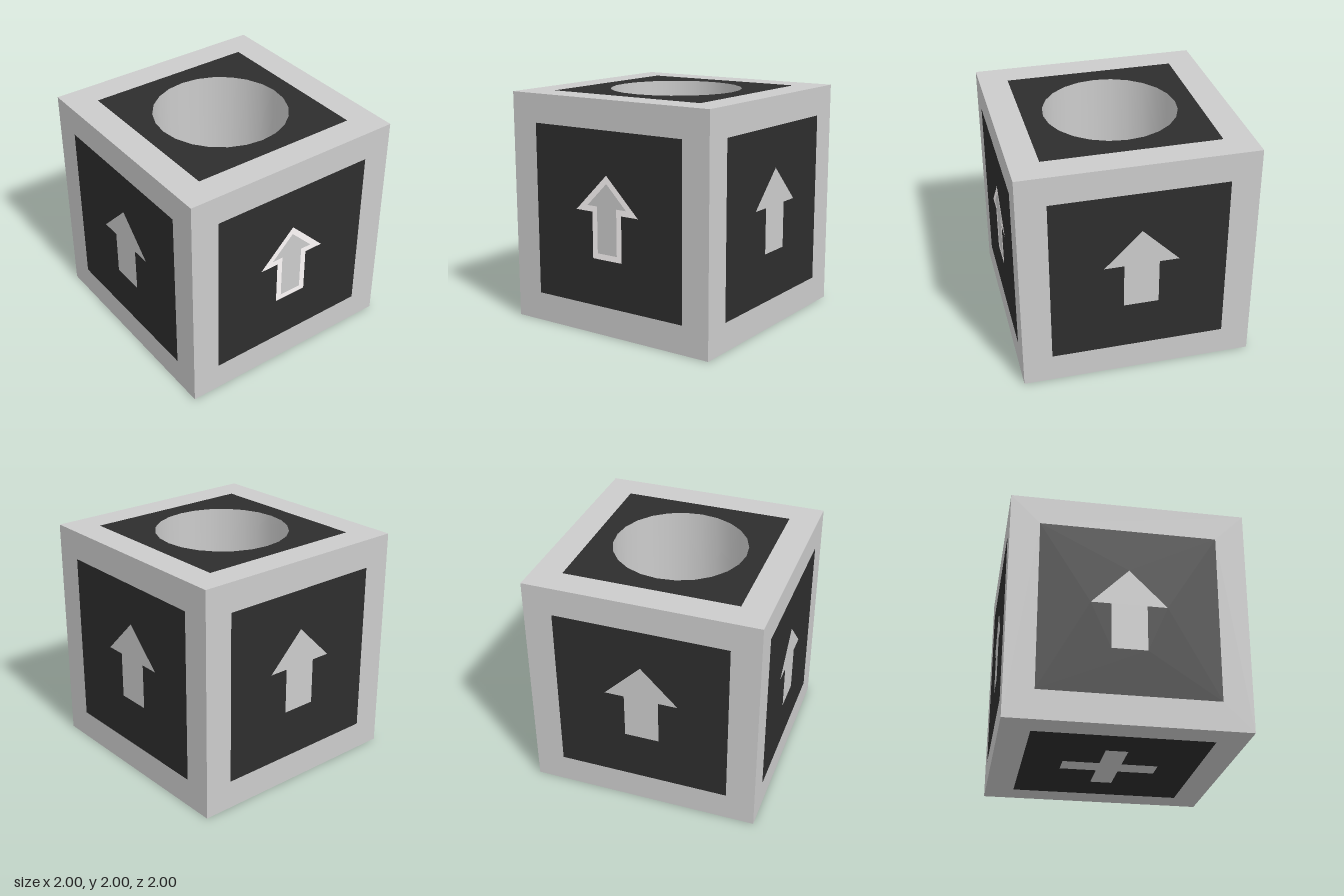
import * as THREE from 'three';

const SIDES = 24, BORE_RADIUS = 0.575, BORE_DEPTH = 1.0;

const points = (list) => list.map(([x, y]) => new THREE.Vector2(x, y));

const square = (h) => points([[-h, -h], [h, -h], [h, h], [-h, h]]);

// Upward arrow: tip, shoulder and foot heights, head and stem half widths
const arrow = (tip, shoulder, foot, head, stem, dx = 0) => points([
  [-stem, foot], [stem, foot], [stem, shoulder], [head, shoulder],
  [0, tip], [-head, shoulder], [-stem, shoulder],
].map(([x, y]) => [x + dx, y]));

// Plus sign: arm half length and half width
const plus = (l, w) => points([
  [-w, -l], [w, -l], [w, -w], [l, -w], [l, w], [w, w],
  [w, l], [-w, l], [-w, w], [-l, w], [-l, -w], [-w, -w],
]);

const circle = (r) => points(Array.from({ length: SIDES }, (_, i) => {
  const a = (i / SIDES) * Math.PI * 2;
  return [r * Math.cos(a), r * Math.sin(a)];
}));

export function createModel() {
  const model = new THREE.Group();
  model.name = 'arrowCube';
  const grey = new THREE.MeshStandardMaterial({ color: 0xcccccc });
  const dark = new THREE.MeshStandardMaterial({ color: 0x2d2d2d });
  const white = new THREE.MeshStandardMaterial({ color: 0xfffafa });
  const boreGrey = new THREE.MeshStandardMaterial({ color: 0xcccccc, side: THREE.DoubleSide });

  function addMesh(parent, name, geometry, material) {
    const mesh = new THREE.Mesh(geometry, material);
    mesh.name = name;
    parent.add(mesh);
    return mesh;
  }

  // Flat inlay with an optional cut-out
  function inlay(parent, name, outline, hole, material) {
    const shape = new THREE.Shape(outline);
    if (hole) shape.holes.push(new THREE.Path(hole));
    addMesh(parent, name, new THREE.ShapeGeometry(shape), material);
  }

  // One cube face: frame, dark panel, then nested marks flush with it
  function addFace(name, rx, ry, marks) {
    const face = new THREE.Group();
    face.name = name;
    const layers = [
      ['frame', square(1), grey],
      ['panel', square(0.75), dark],
      ...marks,
    ];
    layers.forEach(([part, outline, material], i) => {
      if (material) inlay(face, part, outline, layers[i + 1]?.[1], material);
    });
    face.rotation.set(rx, ry, 0);
    face.position.set(0, 0, 1).applyEuler(face.rotation);
    face.position.y += 1;
    model.add(face);
  }

  const q = Math.PI / 2;
  addFace('frontFace', 0, 0, [['arrow', arrow(0.37, 0.05, -0.35, 0.32, 0.15), grey]]);
  addFace('backFace', 0, Math.PI, [['arrow', arrow(0.395, 0.075, -0.325, 0.32, 0.15, 0.02), grey]]);
  addFace('leftFace', 0, q, [
    ['arrowOutline', arrow(0.38, 0.06, -0.34, 0.32, 0.15), white],
    ['arrow', arrow(0.31, 0.11, -0.29, 0.2, 0.1), grey],
  ]);
  addFace('rightFace', 0, -q, [['arrow', arrow(0.4, 0.08, -0.32, 0.32, 0.15), grey]]);
  addFace('bottomFace', q, 0, [['plusSign', plus(0.41, 0.095), grey]]);
  // The top panel is left open for the bore
  addFace('topFace', -q, 0, [['boreOpening', circle(BORE_RADIUS), null]]);

  // Round bore sunk into the top
  const wall = new THREE.CylinderGeometry(BORE_RADIUS, BORE_RADIUS, BORE_DEPTH, SIDES, 1, true);
  addMesh(model, 'boreWall', wall, boreGrey).position.y = 2 - BORE_DEPTH / 2;
  const floor = new THREE.CircleGeometry(BORE_RADIUS, SIDES).rotateX(-q);
  addMesh(model, 'boreFloor', floor, grey).position.y = 2 - BORE_DEPTH;

  return model;
}
